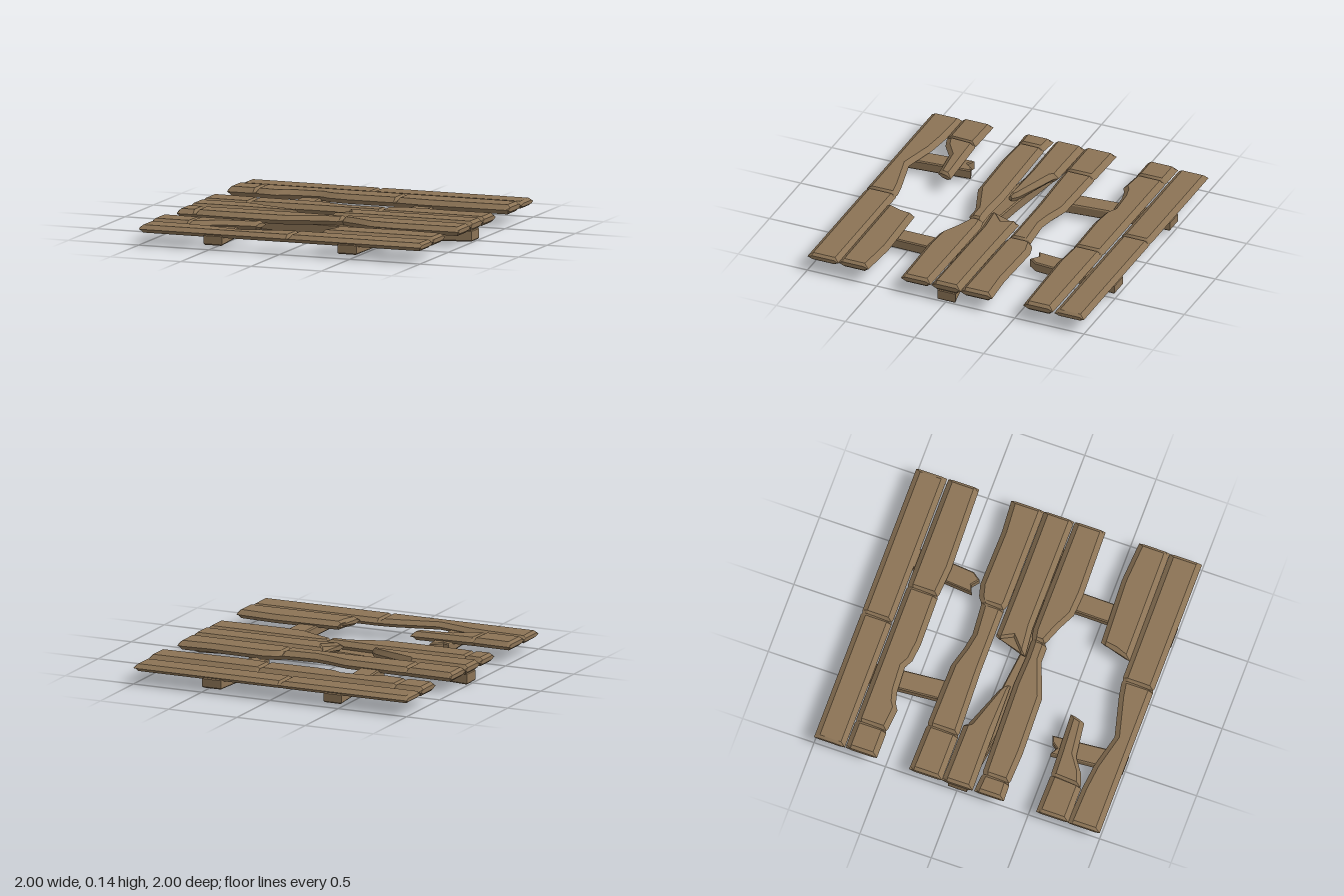
import * as THREE from 'three';
import { toCreasedNormals } from 'three/addons/utils/BufferGeometryUtils.js';

const wood = new THREE.MeshStandardMaterial({ color: 0x8b7355 });
wood.name = 'weathered wood';

// z of a polyline edge at x
function edgeZ(edge, x) {
  for (let i = 1; i < edge.length; i++) {
    const [x0, z0] = edge[i - 1], [x1, z1] = edge[i];
    if (x <= x1 || i === edge.length - 1) return z0 + (z1 - z0) * (x - x0) / (x1 - x0);
  }
}

// Plank lofted along x between a back and a front edge, with bevelled sides and split grooves
function plank(name, { back, front, low, high, grooves = [], notch = 0 }) {
  const ends = e => [e[0][0], e[e.length - 1][0]];
  const [b0, b1] = ends(back), [f0, f1] = ends(front);
  const length = Math.max(b1 - b0, f1 - f0);
  const lip = 0.02 / length;
  const toT = (x, a, b) => (x - a) / (b - a);
  const depth = new Map();
  let ts = [0, lip, 1 - lip, 1];
  for (const g of grooves) {
    const t = toT(g, b0, b1), d = 0.018 / length;
    depth.set(t, 1);
    ts.push(t - d, t, t + d);
  }
  const knots = [...back.map(p => toT(p[0], b0, b1)), ...front.map(p => toT(p[0], f0, f1))];
  for (const k of knots) if (ts.every(t => Math.abs(t - k) > 0.005)) ts.push(k);
  ts.sort((a, b) => a - b);

  const pos = [], index = [], mid = (low + high) / 2;
  ts.forEach((t, i) => {
    const xb = b0 + (b1 - b0) * t, xf = f0 + (f1 - f0) * t;
    const cut = depth.get(t) || 0;
    const zb = edgeZ(back, xb) + cut * 0.006, zf = edgeZ(front, xf) - cut * 0.006;
    const bevel = Math.min(0.034, Math.abs(zf - zb) * 0.3) / Math.max(zf - zb, 0.001);
    const squash = t === 0 || t === 1 ? 0.45 : 1;
    const up = mid + (high - mid) * squash, down = mid + (low - mid) * squash;
    const put = (s, y) => {
      const dent = s === 0.5 && i < 2 ? notch : 0;
      pos.push(xb + (xf - xb) * s + dent, y, zb + (zf - zb) * s);
    };
    put(0, mid);
    put(bevel, up - cut * 0.012);
    put(0.5, up - cut * 0.018);
    put(1 - bevel, up - cut * 0.028);
    put(1, mid);
    put(1 - bevel, down);
    put(0.5, down);
    put(bevel, down);
  });
  const n = 8, last = (ts.length - 1) * n;
  for (let i = 0; i < ts.length - 1; i++) {
    for (let j = 0; j < n; j++) {
      const a = i * n + j, b = i * n + (j + 1) % n;
      index.push(a, b, a + n, b, b + n, a + n);
    }
  }
  for (let j = 1; j < n - 1; j++) {
    index.push(0, j + 1, j);
    index.push(last, last + j, last + j + 1);
  }
  const geo = new THREE.BufferGeometry();
  geo.setAttribute('position', new THREE.Float32BufferAttribute(pos, 3));
  geo.setIndex(index);
  const mesh = new THREE.Mesh(toCreasedNormals(geo, 0.55), wood);
  mesh.name = name;
  return mesh;
}

// Supporting beam: an [x, z] outline extruded upwards with a slight bevel
function beam(name, outline, low, high) {
  const shape = new THREE.Shape(outline.map(([x, z]) => new THREE.Vector2(x, -z)));
  const b = 0.008;
  const geo = new THREE.ExtrudeGeometry(shape, {
    depth: high - low - 2 * b, bevelEnabled: true, bevelSegments: 1,
    bevelSize: b, bevelThickness: b, bevelOffset: -b,
  });
  geo.rotateX(-Math.PI / 2);
  geo.translate(0, low + b, 0);
  const mesh = new THREE.Mesh(geo, wood);
  mesh.name = name;
  return mesh;
}

export function createModel() {
  const model = new THREE.Group();
  model.name = 'brokenPlankFloor';

  // Planks, from the back to the front
  const planks = {
    backPlank: {
      back: [[-1, -1], [1, -1]], front: [[-1, -0.785], [1, -0.785]],
      low: 0.083, high: 0.133, grooves: [-0.07],
    },
    secondPlank: {
      back: [[-1, -0.78], [1, -0.775]],
      front: [[-1, -0.56], [-0.8, -0.56], [-0.64, -0.545], [-0.6, -0.57], [-0.52, -0.59], [-0.34, -0.6],
        [-0.28, -0.568], [-0.15, -0.555], [0.2, -0.56], [0.41, -0.545], [1, -0.56]],
      low: 0.08, high: 0.145, grooves: [-0.8, 0.2],
    },
    thirdPlank: {
      back: [[-1, -0.335], [-0.67, -0.328], [-0.22, -0.32], [-0.08, -0.28], [0.03, -0.26], [0.24, -0.275],
        [0.3, -0.31], [0.38, -0.33], [0.77, -0.32], [1, -0.335]],
      front: [[-1, -0.105], [-0.67, -0.105], [-0.2, -0.12], [0.26, -0.12], [0.3, -0.108], [1, -0.105]],
      low: 0.075, high: 0.138, grooves: [-0.67, 0.26],
    },
    middlePlankRight: {
      back: [[-1, -0.105], [-0.59, -0.1], [-0.57, -0.075], [-0.27, 0.04], [-0.23, 0.075]],
      front: [[-1, 0.11], [-0.6, 0.105], [-0.23, 0.1]],
      low: 0.072, high: 0.138,
    },
    middlePlankLeft: {
      back: [[0.07, -0.11], [0.5, -0.105], [1, -0.105]],
      front: [[0, 0.12], [0.2, 0.1], [1, 0.105]],
      low: 0.072, high: 0.14, notch: 0.065,
    },
    fifthPlank: {
      back: [[-1, 0.12], [-0.87, 0.13], [-0.2, 0.115], [0, 0.125], [0.13, 0.12], [0.2, 0.105], [1, 0.11]],
      front: [[-1, 0.33], [-0.87, 0.325], [-0.65, 0.335], [-0.24, 0.325], [-0.2, 0.31], [0, 0.235],
        [0.1, 0.235], [0.13, 0.215], [0.27, 0.27], [0.38, 0.325], [0.54, 0.335], [1, 0.325]],
      low: 0.075, high: 0.136, grooves: [-0.87, 0.13],
    },
    sixthPlankRight: {
      back: [[-1, 0.555], [-0.73, 0.56], [-0.28, 0.54]],
      front: [[-1, 0.78], [-0.75, 0.78], [-0.65, 0.745], [-0.55, 0.675], [-0.31, 0.645]],
      low: 0.083, high: 0.142, grooves: [-0.73],
    },
    sixthPlankLeft: {
      back: [[0.26, 0.558], [0.72, 0.54], [1, 0.56]],
      front: [[0.2, 0.78], [1, 0.775]],
      low: 0.083, high: 0.142, notch: 0.01,
    },
    frontPlank: {
      back: [[-1, 0.775], [-0.74, 0.785], [-0.57, 0.805], [-0.33, 0.865], [-0.05, 0.795], [0.06, 0.777], [1, 0.775]],
      front: [[-1, 1], [1, 1]],
      low: 0.08, high: 0.133, grooves: [0.06],
    },
  };
  for (const [name, spec] of Object.entries(planks)) model.add(plank(name, spec));

  // Broken beams running front to back under the planks
  const beams = {
    backRightBeam: [[-0.52, -0.995], [-0.39, -0.995], [-0.32, -0.2], [-0.38, -0.23], [-0.42, -0.19], [-0.46, -0.22]],
    backLeftBeam: [[0.36, -0.995], [0.5, -0.995], [0.45, -0.4], [0.41, -0.345], [0.36, -0.385], [0.31, -0.365]],
    frontLeftBeam: [[0.41, 0.995], [0.42, -0.13], [0.46, -0.16], [0.5, -0.12], [0.56, -0.17], [0.545, 0.995]],
    frontRightBeam: [[-0.54, 0.995], [-0.58, 0.505], [-0.53, 0.53], [-0.5, 0.49], [-0.455, 0.475], [-0.41, 0.995]],
  };
  for (const [name, outline] of Object.entries(beams)) model.add(beam(name, outline, 0.03, 0.1));

  // Bowed beam running left to right beneath everything
  const bow = [[-0.99, 0], [-0.25, 0.11], [0.05, 0.145], [0.3, 0.13], [0.99, 0]];
  const half = 0.065;
  model.add(beam('crossBeam', [
    ...bow.map(([x, z]) => [x, z - half]),
    ...bow.map(([x, z]) => [x, z + half]).reverse(),
  ], 0, 0.078));

  return model;
}
